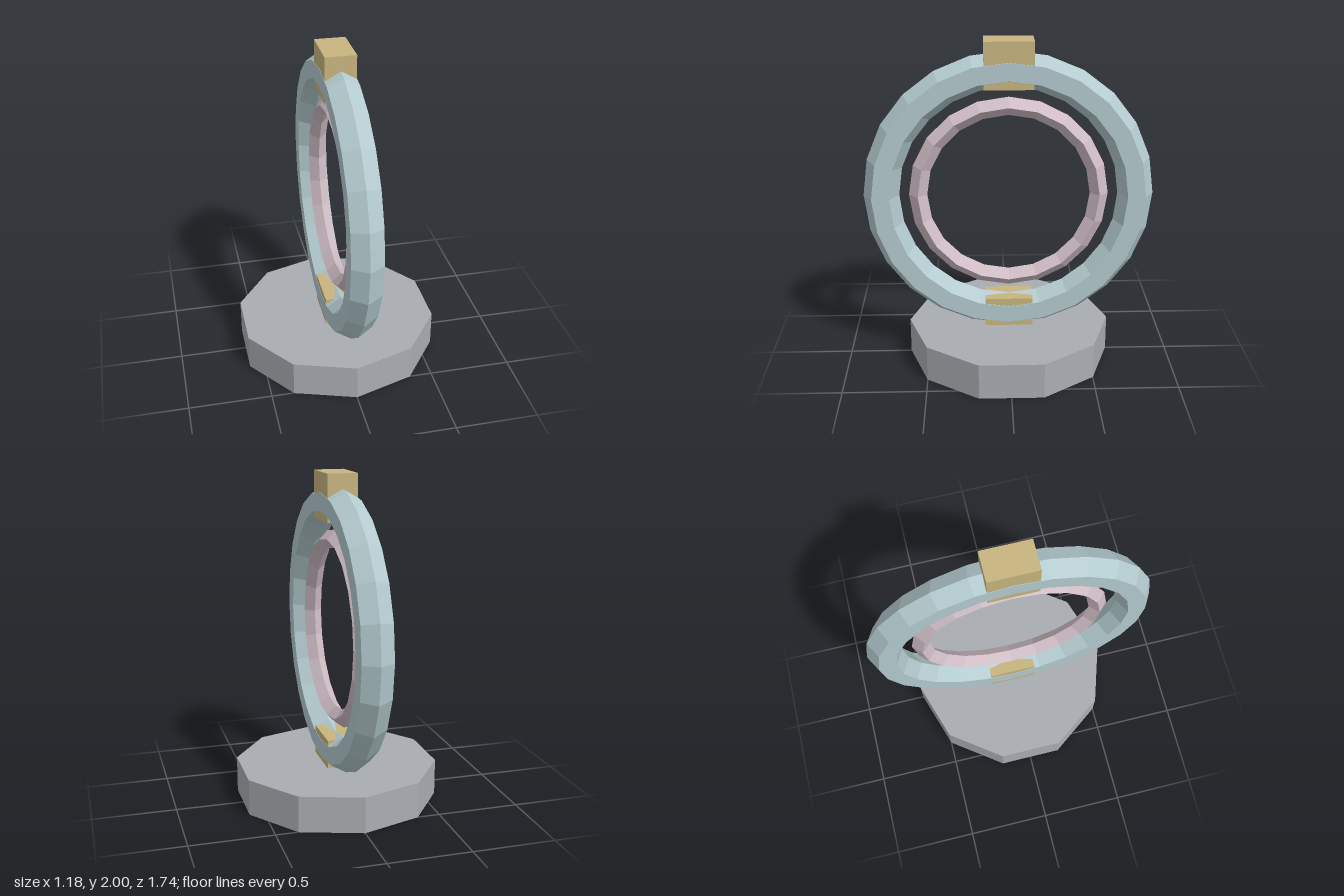
import * as THREE from 'three';

function material(name, color) {
  const m = new THREE.MeshStandardMaterial({ color });
  m.name = name;
  return m;
}

// Bakes hard facets into a geometry
function faceted(geometry) {
  const g = geometry.toNonIndexed();
  g.computeVertexNormals();
  return g;
}

export function createModel() {
  const stone = material('stone grey', 0xa9adb2);
  const paleBlue = material('pale blue', 0xb4cbcf);
  const palePink = material('pale pink', 0xd1bec7);
  const gold = material('gold', 0xc8b580);

  const model = new THREE.Group();
  model.name = 'ringPortal';
  const centreY = 1.06;

  function add(name, geometry, mat, y) {
    const mesh = new THREE.Mesh(faceted(geometry), mat);
    mesh.name = name;
    mesh.position.y = y;
    model.add(mesh);
  }

  // Ten-sided plinth
  add('base', new THREE.CylinderGeometry(0.62, 0.62, 0.22, 10), stone, 0.11);

  // Upright rings around the x axis: hexagonal outer tube, diamond inner tube
  const ring = (radius, tube, sides, segments) =>
    new THREE.TorusGeometry(radius, tube, sides, segments).rotateY(Math.PI / 2);
  add('outerRing', ring(0.765, 0.107, 6, 24), paleBlue, centreY);
  add('innerRing', ring(0.545, 0.055, 4, 20), palePink, centreY);

  // Clasps through the top and bottom of the outer ring
  for (const [name, side] of [['topClasp', 1], ['bottomClasp', -1]]) {
    add(name, new THREE.BoxGeometry(0.182, 0.28, 0.292), gold, centreY + side * 0.8);
  }
  return model;
}
